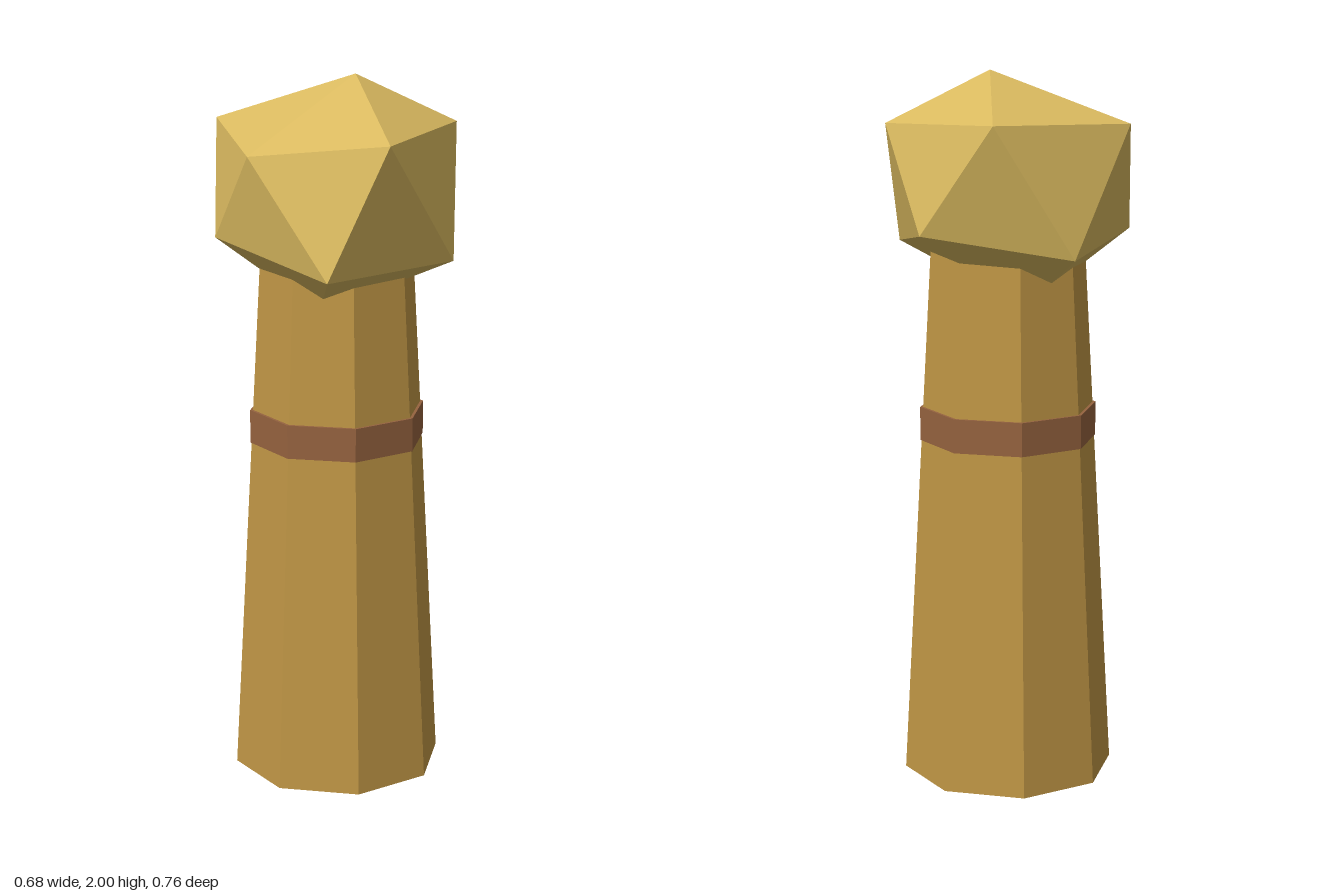
import * as THREE from 'three';

const paint = (color) => {
  const m = new THREE.MeshStandardMaterial({ flatShading: true });
  m.color.set(color);
  return m;
};

// Eight-sided tapered section standing between two heights
function section(name, rTop, rBottom, y0, y1, color) {
  const geo = new THREE.CylinderGeometry(rTop, rBottom, y1 - y0, 8);
  const mesh = new THREE.Mesh(geo, paint(color));
  mesh.name = name;
  mesh.position.set(0, (y0 + y1) / 2, -0.015);
  return mesh;
}

// Irregular twenty-sided lump: two poles and two staggered rings of five
function lumpGeometry(top, upper, lower, bottom) {
  const tris = [];
  for (let i = 0; i < 5; i++) {
    const j = (i + 1) % 5;
    tris.push(
      top, upper[j], upper[i],
      upper[i], upper[j], lower[i],
      upper[j], lower[j], lower[i],
      lower[i], lower[j], bottom
    );
  }
  const geo = new THREE.BufferGeometry();
  geo.setAttribute('position', new THREE.Float32BufferAttribute(tris.flat(), 3));
  geo.computeVertexNormals();
  return geo;
}

export function createModel() {
  const model = new THREE.Group();
  model.name = 'club';

  // Handle and its binding
  model.add(section('shaft', 0.212, 0.3, 0, 1.6, 0xc09645));
  model.add(section('band', 0.25, 0.25, 0.97, 1.065, 0x96633f));

  // Faceted head
  const head = new THREE.Mesh(
    lumpGeometry(
      [0.05, 2.0, -0.01],
      [[0.095, 1.88, -0.38], [0.34, 1.86, -0.025], [0.06, 1.86, 0.375], [-0.28, 1.81, 0.16], [-0.305, 1.865, -0.2]],
      [[0.275, 1.58, -0.26], [0.283, 1.51, 0.18], [-0.108, 1.505, 0.378], [-0.34, 1.56, -0.025], [-0.127, 1.52, -0.36]],
      [-0.05, 1.34, -0.01]
    ),
    paint(0xd9b95f)
  );
  head.name = 'head';
  model.add(head);

  return model;
}
